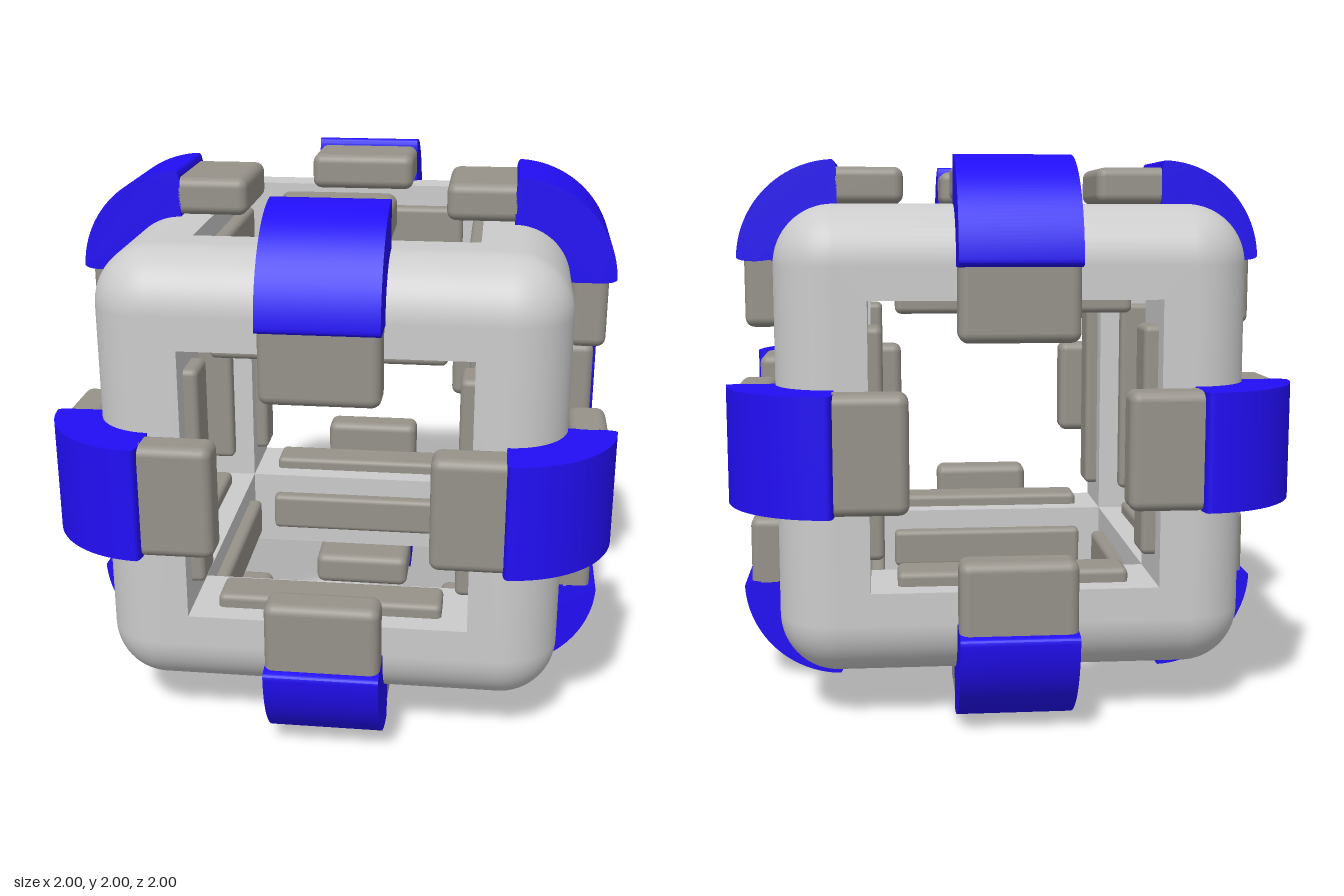
import * as THREE from 'three';
import { toCreasedNormals } from 'three/addons/utils/BufferGeometryUtils.js';
import { RoundedBoxGeometry } from 'three/addons/geometries/RoundedBoxGeometry.js';

const HALF = 0.83;    // half size of the cube frame
const WINDOW = 0.505; // half size of the square windows
const CORE = 0.62;    // centre of the edge rounding
const ROUND = HALF - CORE;
const BAR = HALF - WINDOW;
const BAR_MID = (HALF + WINDOW) / 2;

const frameMat = new THREE.MeshStandardMaterial({ color: 0xcccccc });
const padMat = new THREE.MeshStandardMaterial({ color: 0x96928a });
const blueMat = new THREE.MeshStandardMaterial({ color: 0x220ef5 });

function add(parent, name, geometry, material, x = 0, y = 0, z = 0) {
  const mesh = new THREE.Mesh(geometry, material);
  mesh.name = name;
  mesh.position.set(x, y, z);
  parent.add(mesh);
  return mesh;
}

function addGroup(parent, name) {
  const group = new THREE.Group();
  group.name = name;
  parent.add(group);
  return group;
}

function square(path, h) {
  return path.moveTo(-h, -h).lineTo(h, -h).lineTo(h, h).lineTo(-h, h).closePath();
}

// Quarter-ring clamp with softened outer ends, centred on its edge
function clampGeometry() {
  const s = new THREE.Shape();
  s.moveTo(ROUND, 0);
  s.lineTo(0.315, 0);
  s.quadraticCurveTo(0.375, 0, 0.38, 0.016);
  s.absarc(0, 0, 0.38, 0.042, Math.PI / 2 - 0.042, false);
  s.quadraticCurveTo(0, 0.375, 0, 0.315);
  s.lineTo(0, ROUND);
  s.absarc(0, 0, ROUND, Math.PI / 2, 0, true);
  const geo = new THREE.ExtrudeGeometry(s, { depth: 0.41, bevelEnabled: false, curveSegments: 20 });
  geo.translate(0, 0, -0.205);
  return toCreasedNormals(geo, 0.5);
}

export function createModel() {
  const model = new THREE.Group();
  model.name = 'cubeFrame';
  const body = addGroup(model, 'body');
  body.position.y = 1;

  const ringShape = square(new THREE.Shape(), CORE);
  ringShape.holes.push(square(new THREE.Path(), WINDOW));
  const ring = new THREE.ShapeGeometry(ringShape);
  const wall = new THREE.PlaneGeometry(2 * WINDOW, BAR).rotateX(Math.PI / 2);
  const innerPad = new RoundedBoxGeometry(0.82, 0.07, 0.16, 3, 0.022);
  const edgeRound = new THREE.CylinderGeometry(ROUND, ROUND, 2 * CORE, 16, 1, true, 0, Math.PI / 2)
    .rotateX(-Math.PI / 2);
  const corner = new THREE.SphereGeometry(ROUND, 16, 16, Math.PI / 2, Math.PI / 2, 0, Math.PI / 2);
  const clamp = clampGeometry();
  const blockLength = 0.29;
  const block = new RoundedBoxGeometry(blockLength, 0.138, 0.41, 4, 0.035);
  const blockMid = 0.37 + blockLength / 2;

  // Six faces: flat rim, window walls and the slim pads on them
  const turns = [[0, 0], [0, 1], [0, 2], [0, 3], [1, 0], [-1, 0]];
  for (const [rx, ry] of turns) {
    const face = addGroup(body, 'face');
    face.rotation.set(rx * Math.PI / 2, ry * Math.PI / 2, 0);
    add(face, 'faceRim', ring, frameMat, 0, 0, HALF);
    for (let i = 0; i < 4; i++) {
      const side = addGroup(face, 'windowSide');
      side.rotation.z = i * Math.PI / 2;
      add(side, 'windowWall', wall, frameMat, 0, WINDOW, BAR_MID);
      add(side, 'innerPad', innerPad, padMat, 0, 0.49, BAR_MID);
    }
  }

  // Twelve edges: rounded bar, blue clamp and its two blocks
  const diagonal = new THREE.Vector3(1, 1, 1).normalize();
  for (let a = 0; a < 3; a++) {
    const axis = addGroup(body, 'edgeSet');
    axis.quaternion.setFromAxisAngle(diagonal, a * 2 * Math.PI / 3);
    for (let i = 0; i < 4; i++) {
      const edge = addGroup(axis, 'edge');
      edge.rotation.z = i * Math.PI / 2;
      add(edge, 'edgeBar', edgeRound, frameMat, CORE, CORE, 0);
      add(edge, 'clamp', clamp, blueMat, CORE, CORE, 0);
      add(edge, 'clampBlock', block, padMat, blockMid, 0.904, 0);
      add(edge, 'clampBlock', block, padMat, 0.904, blockMid, 0).rotation.z = Math.PI / 2;
    }
  }

  // Eight rounded corners
  for (let flip = 0; flip < 2; flip++) {
    const half = addGroup(body, 'cornerSet');
    half.rotation.x = flip * Math.PI;
    for (let i = 0; i < 4; i++) {
      const turn = addGroup(half, 'cornerTurn');
      turn.rotation.y = i * Math.PI / 2;
      add(turn, 'corner', corner, frameMat, CORE, CORE, CORE);
    }
  }
  return model;
}
